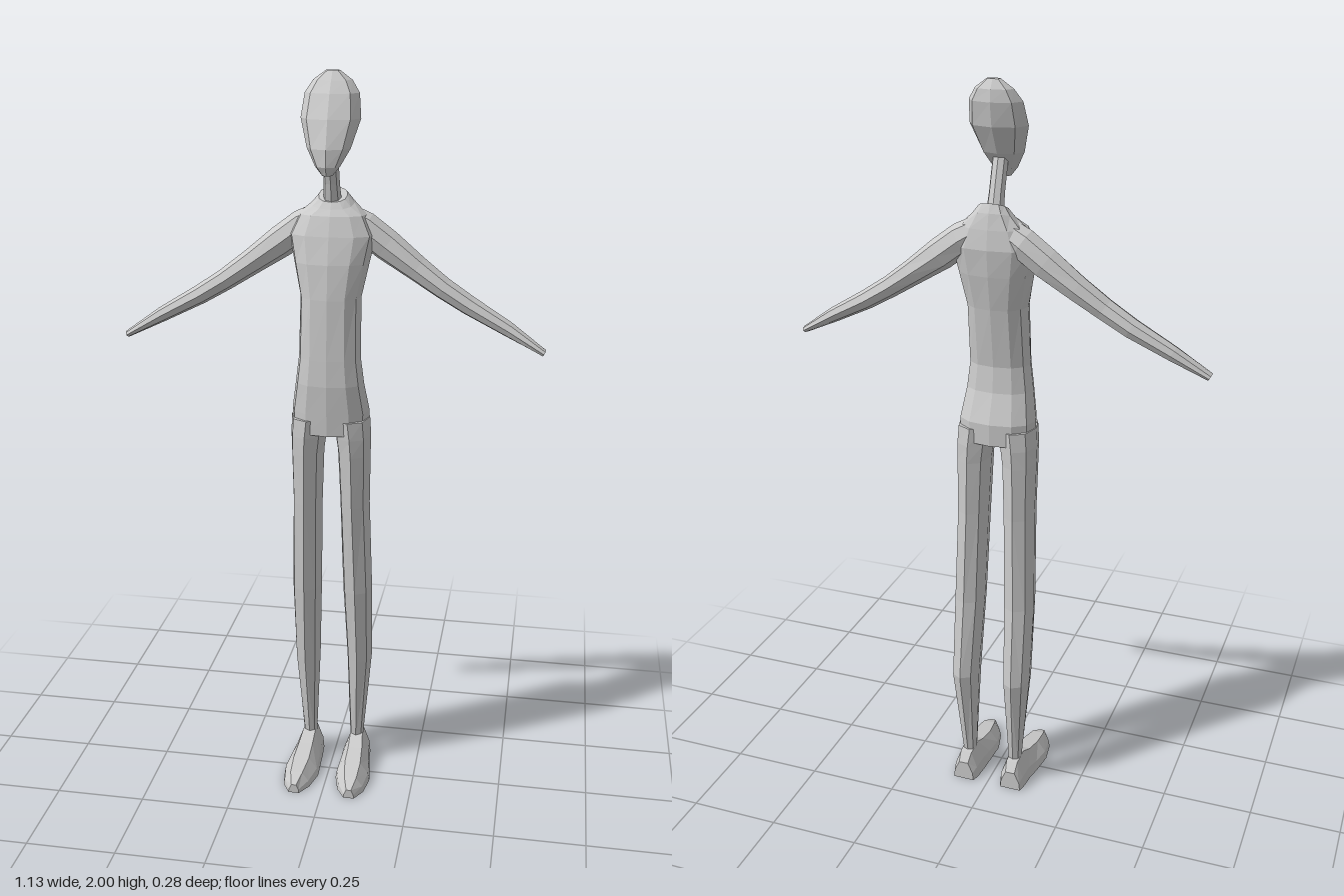
import * as THREE from 'three';

const V = (x, y, z) => new THREE.Vector3(x, y, z);
const material = new THREE.MeshStandardMaterial({ color: 0xcccccc, flatShading: true });

// Skin a list of rings (counter-clockwise about the travel direction) and cap both ends.
// side = -1 mirrors the part across x = 0.
function loft(name, rings, side = 1) {
  const n = rings[0].length, pos = [], idx = [];
  const tri = (a, b, c) => (side > 0 ? idx.push(a, b, c) : idx.push(a, c, b));
  rings.flat().forEach((p) => pos.push(p.x * side, p.y, p.z));
  for (let r = 0; r < rings.length - 1; r++) {
    for (let i = 0; i < n; i++) {
      const a = r * n + i, b = r * n + ((i + 1) % n);
      tri(a, b, b + n);
      tri(a, b + n, a + n);
    }
  }
  const last = (rings.length - 1) * n;
  for (let i = 1; i < n - 1; i++) {
    tri(0, i + 1, i);
    tri(last, last + i, last + i + 1);
  }
  const indexed = new THREE.BufferGeometry();
  indexed.setAttribute('position', new THREE.Float32BufferAttribute(pos, 3));
  indexed.setIndex(idx);
  const geometry = indexed.toNonIndexed();
  geometry.computeVertexNormals();
  const mesh = new THREE.Mesh(geometry, material);
  mesh.name = name;
  return mesh;
}

// Rounded ring around centre c, spanned by half-axes u and v; power < 1 makes it boxier.
function ring(c, u, v, n, power = 1) {
  const bend = (t) => Math.sign(t) * Math.pow(Math.abs(t), power);
  return Array.from({ length: n }, (_, i) => {
    const a = (i / n) * Math.PI * 2;
    return c.clone().addScaledVector(u, bend(Math.cos(a))).addScaledVector(v, bend(Math.sin(a)));
  });
}

// Level ring from its extents: height, back z, front z, left and right x; tilt is dy over dz.
const level = (n, power) => ([y, z0, z1, x0, x1, tilt = 0]) => {
  const d = (z1 - z0) / 2;
  return ring(V((x0 + x1) / 2, y, (z0 + z1) / 2), V(0, tilt * d, d), V((x1 - x0) / 2, 0, 0), n, power);
};
const centred = (rows) => rows.map(([y, z0, z1, hw, tilt]) => [y, z0, z1, -hw, hw, tilt]);

// Arm: rings square to the arm's path
function arm(side) {
  // x, y, z, half height, half depth
  const rows = [
    [0.03, 1.635, -0.06, 0.035, 0.035],
    [0.08, 1.605, -0.065, 0.042, 0.042],
    [0.14, 1.56, -0.065, 0.042, 0.04],
    [0.22, 1.503, -0.06, 0.034, 0.037],
    [0.29, 1.455, -0.053, 0.029, 0.034],
    [0.36, 1.412, -0.05, 0.026, 0.032],
    [0.465, 1.355, -0.04, 0.02, 0.025],
    [0.56, 1.3, -0.026, 0.009, 0.018],
  ];
  const rings = rows.map(([x, y, z, h, d], i) => {
    const a = rows[Math.max(i - 1, 0)], b = rows[Math.min(i + 1, rows.length - 1)];
    const dir = V(b[0] - a[0], b[1] - a[1], 0).normalize();
    return ring(V(x, y, z), V(0, 0, d), dir.cross(V(0, 0, 1)).multiplyScalar(h), 8);
  });
  return loft(side > 0 ? 'leftArm' : 'rightArm', rings, side);
}

// Leg: overlaps the pelvis at the top and the foot at the bottom
function leg(side) {
  const rows = [
    [0.07, -0.098, -0.056, 0.051, 0.088],
    [0.35, -0.14, -0.02, 0.04, 0.112],
    [0.58, -0.113, 0.008, 0.031, 0.114],
    [0.85, -0.102, 0.033, 0.025, 0.107],
    [1.0, -0.1, 0.044, 0.019, 0.109],
    [1.05, -0.1, 0.047, 0.012, 0.11],
    [1.1, -0.098, 0.048, 0.004, 0.107],
  ];
  return loft(side > 0 ? 'leftLeg' : 'rightLeg', rows.map(level(8, 0.9)), side);
}

// Foot: flat-soled sections from heel to toe
function foot(side) {
  // z, centre x, half width, top height
  const rows = [
    [-0.13, 0.072, 0.03, 0.055],
    [-0.11, 0.071, 0.036, 0.08],
    [-0.06, 0.071, 0.04, 0.088],
    [-0.015, 0.074, 0.045, 0.068],
    [0.045, 0.076, 0.05, 0.055],
    [0.105, 0.079, 0.038, 0.043],
    [0.143, 0.08, 0.015, 0.026],
  ];
  const rings = rows.map(([z, x, w, top]) => [
    V(x - w, 0, z), V(x + w, 0, z), V(x + w * 0.92, top * 0.42, z),
    V(x + w * 0.45, top, z), V(x - w * 0.45, top, z), V(x - w * 0.92, top * 0.42, z),
  ]);
  return loft(side > 0 ? 'leftFoot' : 'rightFoot', rings, side);
}

export function createModel() {
  const model = new THREE.Group();
  model.name = 'figure';

  // Torso from crotch to collar, the collar dipping at the front
  model.add(loft('torso', centred([
    [1.06, -0.098, 0.046, 0.104],
    [1.12, -0.1, 0.05, 0.105],
    [1.2, -0.072, 0.055, 0.092],
    [1.27, -0.065, 0.052, 0.083],
    [1.43, -0.088, 0.043, 0.081],
    [1.52, -0.104, 0.033, 0.1],
    [1.59, -0.112, 0.016, 0.115],
    [1.64, -0.105, -0.002, 0.09],
    [1.668, -0.096, -0.014, 0.056, -0.3],
    [1.688, -0.085, -0.025, 0.038, -0.5],
  ]).map(level(12, 0.85))));

  // Neck leaning forward into the head
  model.add(loft('neck', centred([
    [1.64, -0.08, -0.035, 0.026],
    [1.72, -0.055, -0.015, 0.021],
    [1.81, -0.025, 0.015, 0.021],
  ]).map(level(8))));

  // Head: a tilted egg with the chin forward
  model.add(loft('head', centred([
    [1.75, 0.015, 0.05, 0.014],
    [1.772, 0.0, 0.06, 0.032],
    [1.815, -0.035, 0.058, 0.056],
    [1.885, -0.073, 0.034, 0.077],
    [1.945, -0.084, 0.002, 0.07],
    [1.975, -0.08, -0.022, 0.05],
    [1.998, -0.065, -0.044, 0.018],
  ]).map(level(8, 0.95))));

  for (const side of [1, -1]) model.add(arm(side), leg(side), foot(side));
  return model;
}
